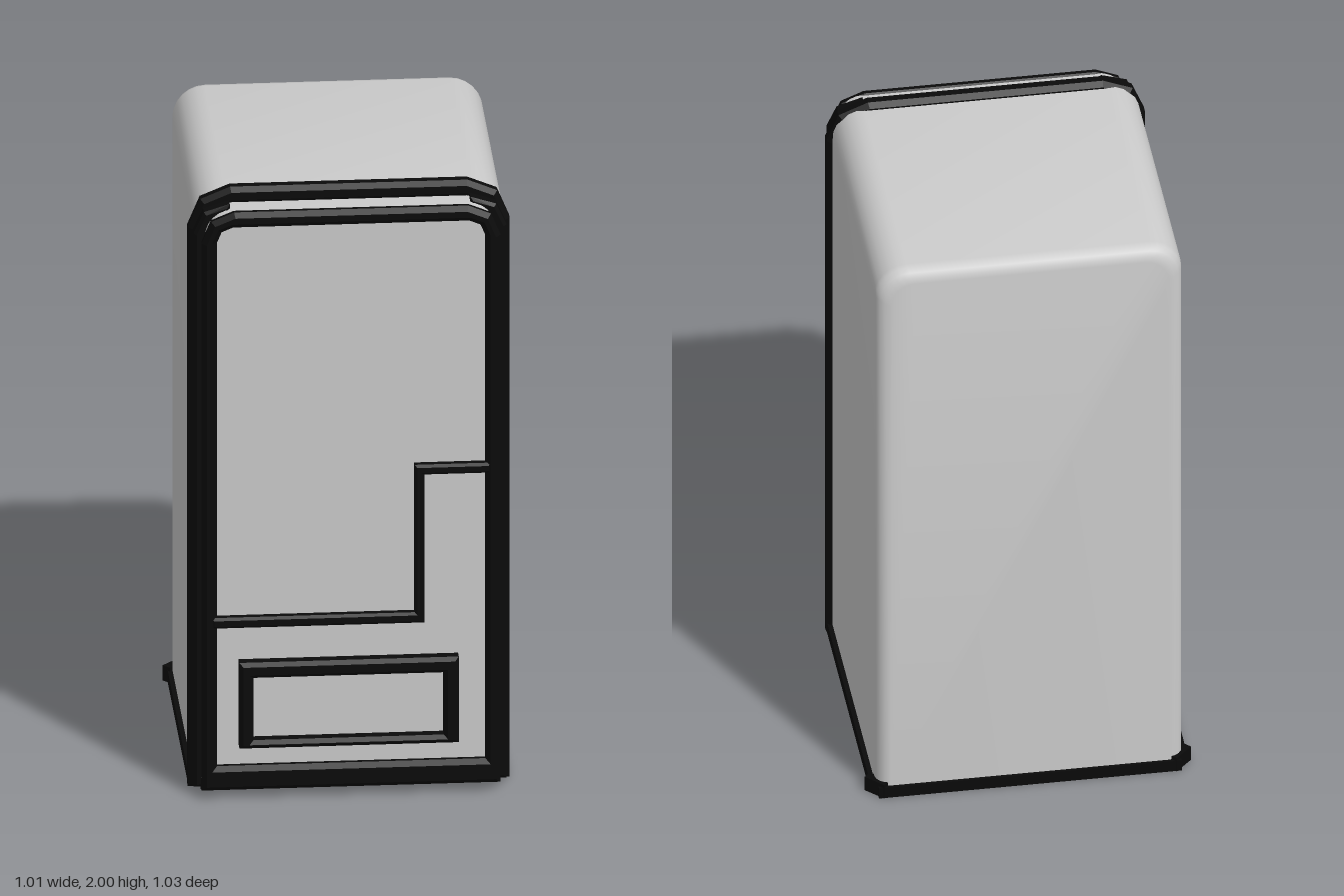
import * as THREE from 'three';
import { toCreasedNormals } from 'three/addons/utils/BufferGeometryUtils.js';

const grey = new THREE.MeshStandardMaterial({ color: 0xcccccc });
const black = new THREE.MeshStandardMaterial({ color: 0x0a0a0a });

// Upright outline with rounded top corners, counter-clockwise from the bottom right
function archPoints(w, bottom, top, r, steps) {
  const pts = [new THREE.Vector2(w, bottom)];
  for (const side of [0, 1]) {
    const cx = side ? -(w - r) : w - r;
    for (let i = 0; i <= steps; i++) {
      const a = (side + i / steps) * Math.PI / 2;
      pts.push(new THREE.Vector2(cx + r * Math.cos(a), top - r + r * Math.sin(a)));
    }
  }
  pts.push(new THREE.Vector2(-w, bottom));
  return pts;
}

// Skin between matching outlines placed along z, closed at both ends
function loft(sections) {
  const pos = [], index = [], n = sections[0].pts.length;
  for (const { z, pts } of sections) for (const p of pts) pos.push(p.x, p.y, z);
  for (let s = 0; s < sections.length - 1; s++) {
    for (let i = 0; i < n; i++) {
      const j = (i + 1) % n, a = s * n + i, b = s * n + j;
      index.push(a, b, b + n, a, b + n, a + n);
    }
  }
  const last = (sections.length - 1) * n;
  for (let i = 1; i < n - 1; i++) {
    index.push(0, i + 1, i);
    index.push(last, last + i, last + i + 1);
  }
  const g = new THREE.BufferGeometry();
  g.setAttribute('position', new THREE.Float32BufferAttribute(pos, 3));
  g.setIndex(index);
  return toCreasedNormals(g, 0.6);
}

// Bevelled black trim cut from an outline, between two depths
function trim(name, pts, z0, z1, bevel, hole) {
  const shape = new THREE.Shape(pts);
  if (hole) shape.holes.push(new THREE.Path(hole));
  const g = new THREE.ExtrudeGeometry(shape, {
    depth: z1 - z0 - 2 * bevel, bevelEnabled: true, bevelThickness: bevel,
    bevelSize: bevel, bevelOffset: -bevel, bevelSegments: 1,
  });
  g.translate(0, 0, z0 + bevel);
  const m = new THREE.Mesh(g, black);
  m.name = name;
  return m;
}

const points = (list) => list.map(([x, y]) => new THREE.Vector2(x, y));
const rect = (x0, y0, x1, y1) => points([[x0, y0], [x1, y0], [x1, y1], [x0, y1]]);

export function createModel() {
  const group = new THREE.Group();

  // Cabinet: rounded back edge, straight sides, narrower raised front panel
  const section = (z, inset, bottom = 0.02) =>
    ({ z, pts: archPoints(0.477 - inset, bottom, 1.98 - inset, 0.1 - inset * 0.5, 6) });
  const sections = [];
  for (let i = 0; i <= 4; i++) {
    const a = (i / 4) * Math.PI / 2;
    sections.push(section(-0.505 + 0.045 * (1 - Math.cos(a)), 0.045 * (1 - Math.sin(a))));
  }
  sections.push(section(0.38, 0));
  const body = new THREE.Mesh(loft(sections), grey);
  body.name = 'cabinet';
  group.add(body);

  const panel = new THREE.Mesh(loft([section(0.37, 0.03, 0.035), section(0.475, 0.03, 0.035)]), grey);
  panel.name = 'frontPanel';
  group.add(panel);

  // Frames around the cabinet front and the panel face
  group.add(trim('outerFrame', archPoints(0.495, 0.01, 2, 0.13, 2), 0.35, 0.405, 0.015,
    archPoints(0.44, 0.05, 1.945, 0.08, 2)));
  group.add(trim('panelFrame', archPoints(0.46, 0.035, 1.955, 0.1, 2), 0.46, 0.503, 0.015,
    archPoints(0.413, 0.115, 1.905, 0.05, 2)));

  // Side strips between the two frames, curling over the top corners
  for (const side of [1, -1]) {
    const strip = trim('sideStrip', points([[0.43, 0.03], [0.482, 0.03], [0.482, 1.87],
      [0.45, 1.94], [0.37, 1.965], [0.37, 1.935], [0.43, 1.86]]), 0.4, 0.453, 0.01);
    strip.scale.x = side;
    group.add(strip);
  }
  group.add(trim('lowerStrip', rect(-0.46, 0.025, 0.46, 0.065), 0.4, 0.465, 0.01));

  // Stepped line dividing the window from the lower panel
  group.add(trim('dividerLine', points([[-0.43, 0.575], [0.225, 0.575], [0.225, 1.067],
    [0.43, 1.067], [0.43, 1.1], [0.195, 1.1], [0.195, 0.61], [-0.43, 0.61]]), 0.46, 0.502, 0.008));

  // Frame of the dispensing slot
  group.add(trim('slotFrame', rect(-0.345, 0.178, 0.33, 0.463), 0.46, 0.517, 0.012,
    rect(-0.302, 0.205, 0.284, 0.412)));

  // Edging around the foot of the cabinet
  const edge = (name, w, d, x, z) => {
    const m = new THREE.Mesh(new THREE.BoxGeometry(w, 0.038, d), black);
    m.name = name;
    m.position.set(x, 0.024, z);
    group.add(m);
  };
  edge('footEdgeBack', 0.94, 0.03, 0, -0.5);
  for (const side of [1, -1]) {
    edge('footEdgeSide', 0.03, 0.83, side * 0.477, -0.04);
    // Slanted piece at each rear corner
    const corner = new THREE.Mesh(new THREE.BoxGeometry(0.03, 0.05, 0.075), black);
    corner.name = 'footEdgeCorner';
    corner.position.set(side * 0.47, 0.03, -0.48);
    corner.rotation.y = side * Math.PI / 4;
    group.add(corner);
  }
  return group;
}
